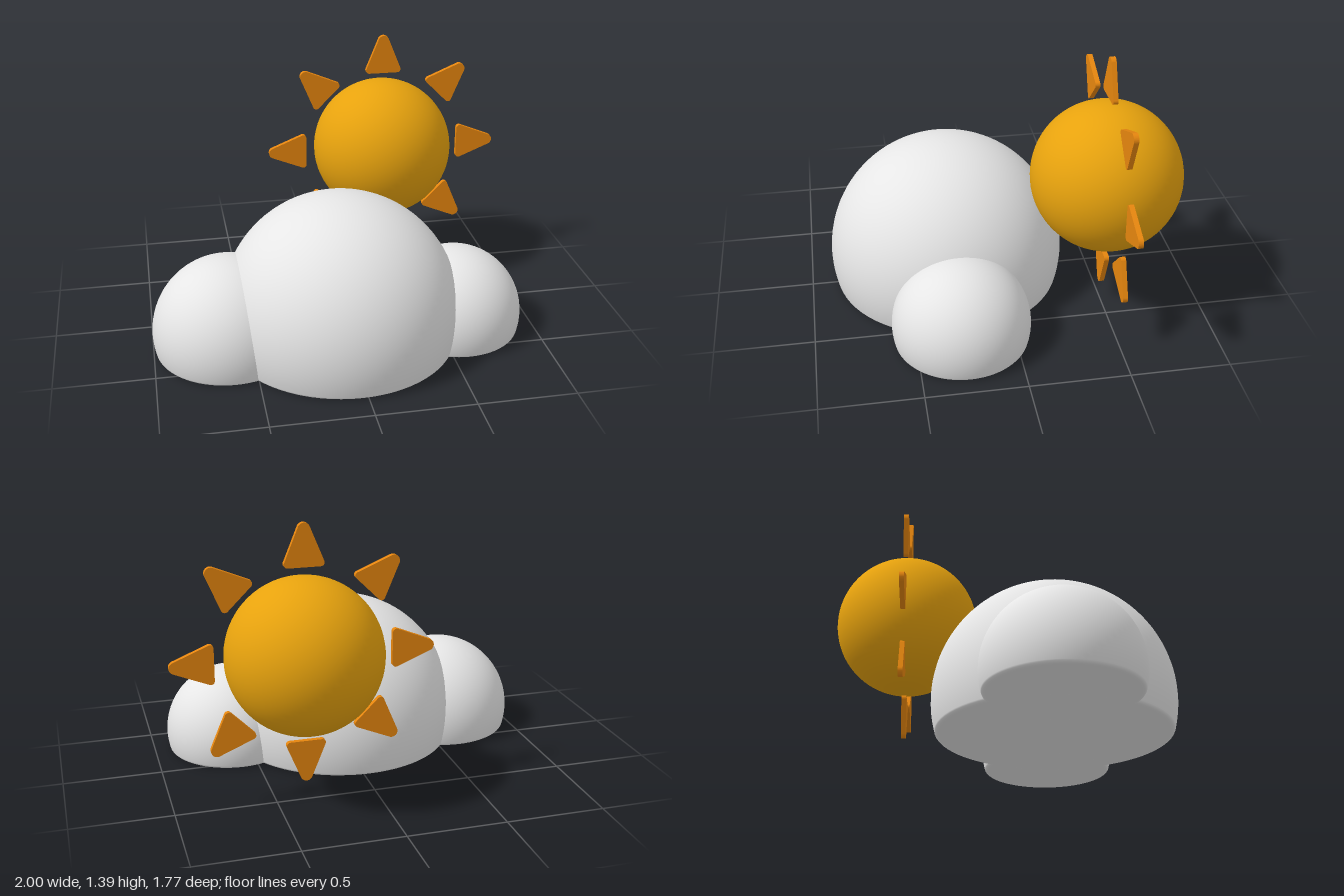
import * as THREE from 'three';

const SUN = [0.353, 0.748, -0.503];
const SUN_RADIUS = 0.383;

// Flat-bottomed ball with a small rounded rim, standing on y = 0
function puffGeometry(radius, centerY) {
  const fillet = 0.02;
  // the rim circle touches the ground and the inside of the ball
  const rimX = Math.sqrt((radius - fillet) ** 2 - (centerY - fillet) ** 2);
  const touch = Math.atan2(fillet - centerY, rimX);
  const points = [new THREE.Vector2(0, 0)];
  for (let i = 0; i <= 6; i++) {
    const a = THREE.MathUtils.lerp(-Math.PI / 2, touch, i / 6);
    points.push(new THREE.Vector2(rimX + fillet * Math.cos(a), fillet + fillet * Math.sin(a)));
  }
  for (let i = 1; i <= 40; i++) {
    const a = THREE.MathUtils.lerp(touch, Math.PI / 2, i / 40);
    points.push(new THREE.Vector2(Math.max(0, radius * Math.cos(a)), centerY + radius * Math.sin(a)));
  }
  // repeat the rim start so the flat underside keeps its own normals
  points.splice(1, 0, points[1].clone().setX(points[1].x - 0.001));
  return new THREE.LatheGeometry(points, 72);
}

// Rounded triangle pointing outward along +y, measured from the sun's centre
function rayGeometry() {
  const depth = 0.025;
  const lean = 0.52; // direction of the slanted side's normal
  const shape = new THREE.Shape();
  shape.absarc(0, 0.613, 0.03, lean, Math.PI - lean, false);
  shape.absarc(-0.079, 0.451, 0.018, Math.PI - lean, Math.PI * 1.5, false);
  shape.absarc(0.079, 0.451, 0.018, -Math.PI / 2, lean, false);
  shape.closePath();
  const geometry = new THREE.ExtrudeGeometry(shape, { depth, bevelEnabled: false, curveSegments: 10 });
  return geometry.translate(0, 0, -depth / 2);
}

export function createModel() {
  const material = (name, color) => {
    const m = new THREE.MeshStandardMaterial({ color });
    m.name = name;
    return m;
  };
  const cloudGrey = material('cloudGrey', 0xe6e6e6);
  const sunYellow = material('sunYellow', 0xeca60e);
  const rayOrange = material('rayOrange', 0xe5850e);

  const model = new THREE.Group();
  model.name = 'sunBehindCloud';

  // Cloud: three merged puffs
  const cloud = new THREE.Group();
  cloud.name = 'cloud';
  const puffs = [
    ['middlePuff', -0.03, 0.617, 0.174],
    ['rightPuff', -0.613, 0.387, 0.113],
    ['leftPuff', 0.582, 0.348, 0.102],
  ];
  for (const [name, x, radius, centerY] of puffs) {
    const puff = new THREE.Mesh(puffGeometry(radius, centerY), cloudGrey);
    puff.name = name;
    puff.position.set(x, 0, 0.268);
    cloud.add(puff);
  }
  model.add(cloud);

  // Sun: ball with a ring of eight flat rays
  const sun = new THREE.Group();
  sun.name = 'sun';
  sun.position.set(...SUN);
  const ball = new THREE.Mesh(new THREE.SphereGeometry(SUN_RADIUS, 64, 40), sunYellow);
  ball.name = 'sunBall';
  sun.add(ball);
  const ray = rayGeometry();
  for (let i = 0; i < 8; i++) {
    const mesh = new THREE.Mesh(ray, rayOrange);
    mesh.name = 'sunRay' + (i + 1);
    mesh.rotation.z = (i * Math.PI) / 4;
    sun.add(mesh);
  }
  model.add(sun);
  return model;
}
